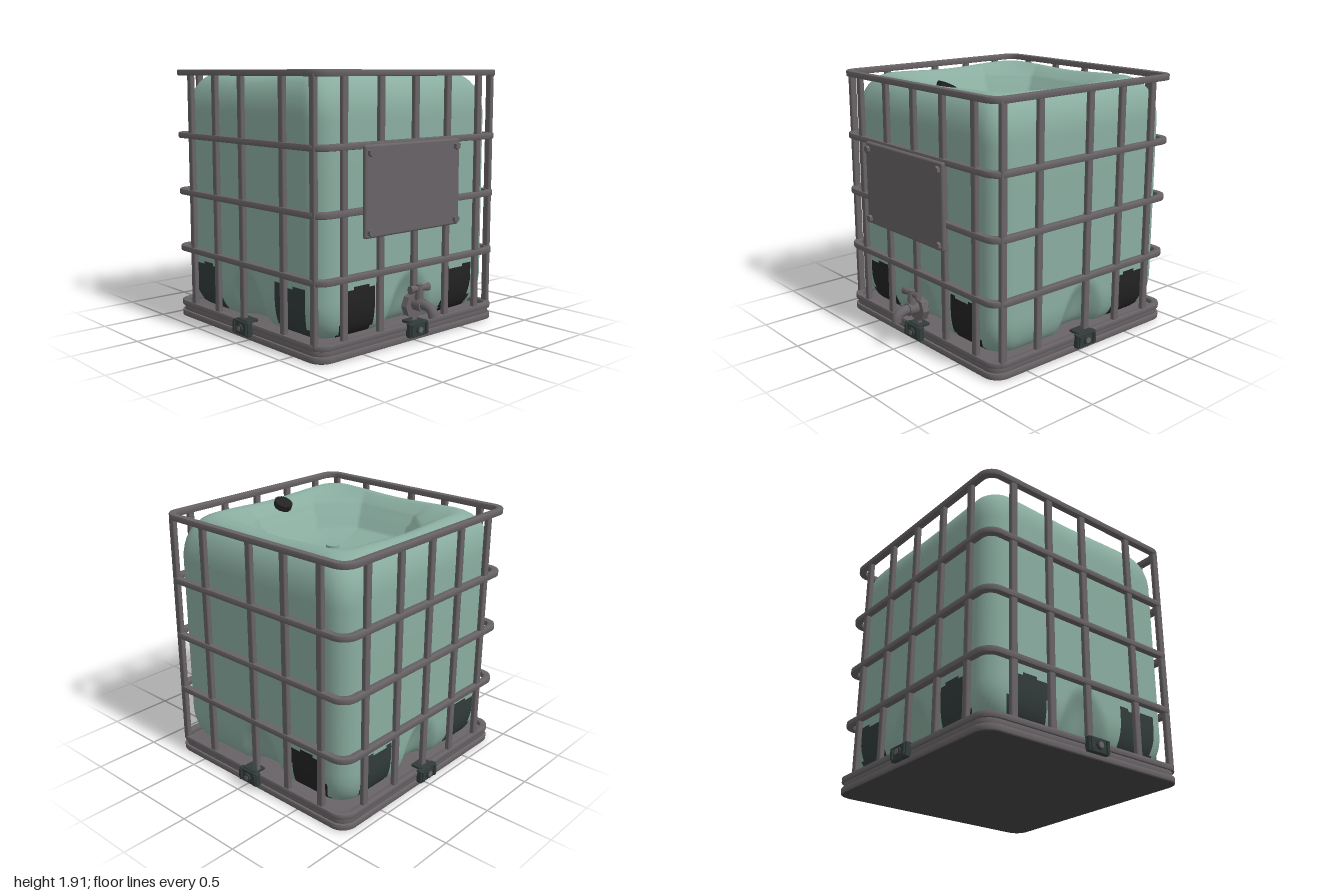
import * as THREE from 'three';
import { toCreasedNormals } from 'three/addons/utils/BufferGeometryUtils.js';
import { RoundedBoxGeometry } from 'three/addons/geometries/RoundedBoxGeometry.js';

const mat = (name, color) => Object.assign(new THREE.MeshStandardMaterial({ color }), { name });
const ZC = -0.076; // middle of the cage in z
const HX = 0.898, HZ = 0.872; // cage half sizes

function roundedRect(hx, hz, r, Type = THREE.Shape) {
  const s = new Type();
  s.absarc(hx - r, hz - r, r, 0, Math.PI / 2);
  s.absarc(r - hx, hz - r, r, Math.PI / 2, Math.PI);
  s.absarc(r - hx, r - hz, r, Math.PI, Math.PI * 1.5);
  s.absarc(hx - r, r - hz, r, Math.PI * 1.5, Math.PI * 2);
  s.closePath();
  return s;
}

// Flat slab or ring lying level, from y0 to y1
function slab(hx, hz, r, y0, y1, wall = 0) {
  const b = 0.007;
  const s = roundedRect(hx - b, hz - b, r);
  if (wall) s.holes.push(roundedRect(hx - wall + b, hz - wall + b, r - wall + 0.02, THREE.Path));
  const g = new THREE.ExtrudeGeometry(s, {
    depth: y1 - y0 - 2 * b, bevelEnabled: true, bevelSize: b, bevelThickness: b, bevelSegments: 2, curveSegments: 8,
  });
  g.rotateX(-Math.PI / 2).translate(0, y0 + b, ZC);
  return toCreasedNormals(g, 0.7);
}

// Distance from the centre to a rounded rectangle along a direction
function rectRadius(hx, hz, r, a) {
  const c = Math.abs(Math.cos(a)), s = Math.abs(Math.sin(a));
  const t = Math.min(hx / c, hz / s);
  if (t * c <= hx - r || t * s <= hz - r) return t;
  const px = hx - r, pz = hz - r, d = px * c + pz * s;
  return d + Math.sqrt(Math.max(0, d * d - px * px - pz * pz + r * r));
}

// Distance from the centre to an octagon along a direction
function octRadius(h, a) {
  const c = Math.abs(Math.cos(a)), s = Math.abs(Math.sin(a));
  return Math.min(h / c, h * 0.94 / s, h * 1.46 / (c + s));
}

function tankGeometry() {
  const N = 240, hx = 0.85, hz = 0.823, rows = [];
  const wall = (inset, y, dip = 0) => rows.push({ f: a => rectRadius(hx - inset, hz - inset, 0.15, a), y, dip });
  const oct = (h, y, dip = 0) => rows.push({ f: a => octRadius(h, a), y, dip });
  rows.push({ f: () => 0.001, y: 0.11, dip: 0 });
  for (let i = 0; i <= 10; i++) {
    const t = i / 10 * Math.PI / 2;
    wall(0.12 * (1 - Math.sin(t)), 0.11 + 0.26 * (1 - Math.cos(t)));
  }
  for (const y of [0.39, 0.41, 0.43, 0.45, 0.47, 0.49, 0.51, 0.54, 0.8, 1.2, 1.58]) wall(0, y);
  const sideRows = rows.length;
  for (let i = 1; i <= 10; i++) {
    const t = i / 10 * Math.PI / 2;
    wall(0.18 * (1 - Math.cos(t)), 1.58 + 0.312 * Math.sin(t), 0.02 * i / 10);
  }
  // Sunken octagonal top with a stepped edge
  wall(0.215, 1.882, 0.02);
  oct(0.585, 1.812); oct(0.56, 1.795); oct(0.535, 1.735); oct(0.51, 1.72); oct(0.485, 1.64); oct(0.46, 1.625);
  rows.push({ f: () => 0.001, y: 1.62, dip: 0 });

  const pos = [], parts = [[], [], []]; // green, black and slate faces
  for (const { f, y, dip } of rows) for (let j = 0; j < N; j++) {
    const a = (j + 0.5) / N * Math.PI * 2, r = f(a);
    let x = Math.cos(a) * r, z = Math.sin(a) * r;
    // Arched recess low in the middle of each side
    const onX = Math.abs(x) / hx > Math.abs(z) / hz, u = onX ? z : x;
    if (r > 0.5 && y < 0.55) {
      const k = Math.max(0, 1 - (u / 0.23) ** 2 - ((y - 0.11) / 0.41) ** 2);
      const d = 0.09 * k * k * (3 - 2 * k);
      if (onX) x -= Math.sign(x) * d; else z -= Math.sign(z) * d;
    }
    pos.push(x, y - dip * Math.cos(2 * a) ** 2, z + ZC - 0.004);
  }
  // Dark pockets near the bottom corners, with an uneven upper edge
  const pocket = (x, y, z) => {
    const zc = z - ZC, onZ = Math.abs(zc) / hz > Math.abs(x) / hx;
    const u = onZ ? x : zc;
    if (y < 0.115 || y > 0.46 + 0.02 * Math.sin(u * 23)) return 0;
    if (onZ) return Math.abs(u) > 0.345 && Math.abs(u) < 0.645 ? (zc > 0 ? 1 : 2) : 0;
    if (u < -0.33 && u > -0.65) return x > 0 ? 1 : 2;
    return x < 0 && u > 0.33 && u < 0.65 ? 2 : 0;
  };
  for (let i = 0; i < rows.length - 1; i++) for (let j = 0; j < N; j++) {
    const k = (j + 1) % N, a = i * N + j, b = i * N + k, d = a + N, c = b + N;
    const mid = n => (pos[a * 3 + n] + pos[c * 3 + n]) / 2;
    const part = i > 0 && i < sideRows ? pocket(mid(0), mid(1), mid(2)) : 0;
    parts[part].push(a, d, b, b, d, c);
  }
  const g = new THREE.BufferGeometry();
  g.setAttribute('position', new THREE.Float32BufferAttribute(pos, 3));
  g.setIndex(parts.flat());
  const out = toCreasedNormals(g, 0.95);
  out.clearGroups();
  let start = 0;
  parts.forEach((p, i) => {
    out.addGroup(start, p.length, i);
    start += p.length;
  });
  return out;
}

export function createModel() {
  const root = new THREE.Group();
  root.name = 'cagedLiquidTank';
  const tankGreen = mat('tankGreen', 0x8aada0);
  const steel = mat('steelGrey', 0x686366);
  const black = mat('black', 0x242323);
  const slate = mat('slateGrey', 0x323b3b);
  const underside = mat('undersideGrey', 0x464646);

  const add = (name, geo, material, x = 0, y = 0, z = 0, parent = root) => {
    const m = new THREE.Mesh(geo, material);
    m.name = name;
    m.position.set(x, y, z);
    parent.add(m);
    return m;
  };
  const cyl = (r, h, n, r2 = r) => toCreasedNormals(new THREE.CylinderGeometry(r, r2, h, n), 0.6);
  const cylZ = (r, h, n) => cyl(r, h, n).rotateX(Math.PI / 2);

  // Tank and the fittings on its top
  add('tank', tankGeometry(), [tankGreen, black, slate]);
  add('fillerCap', cyl(0.07, 0.045, 12), black, 0, 1.852, 0.482).rotation.x = -0.45;
  add('centreCap', cyl(0.05, 0.03, 20), tankGreen, 0, 1.628, -0.03);
  add('lidDisc', cyl(0.155, 0.022, 32, 0.165), tankGreen, -0.2, 1.63, -0.41);

  // Cage hoops
  for (const y of [1.893, 1.42, 0.985, 0.543])
    add('cageHoop', slab(HX, HZ, 0.11, y - 0.022, y + 0.022, 0.05), steel);

  // Base tray
  add('baseTopHoop', slab(HX, HZ, 0.11, 0.088, 0.13, 0.05), steel);
  add('basePlate', slab(HX - 0.015, HZ - 0.015, 0.1, 0.045, 0.095), steel);
  add('baseBottomHoop', slab(HX, HZ, 0.11, 0.004, 0.05, 0.05), steel);
  add('baseUnderside', slab(HX - 0.008, HZ - 0.008, 0.105, 0, 0.03), underside);

  // Upright bars on all four sides
  const H = 1.79;
  const barZ = new RoundedBoxGeometry(0.05, H, 0.038, 2, 0.01);
  const barX = new RoundedBoxGeometry(0.038, H, 0.052, 2, 0.01);
  for (const s of [-1, 1]) {
    for (const x of [-0.665, -0.332, 0, 0.33, 0.665])
      add('uprightBar', barZ, steel, x, 0.1 + H / 2, ZC + s * (HZ - 0.026));
    for (const z of [0.71, 0.39, -0.075, -0.395, -0.715])
      add('uprightBar', barX, steel, s * (HX - 0.026), 0.1 + H / 2, z);
  }

  // Sign plate with corner bolts
  add('signPlate', new RoundedBoxGeometry(0.93, 0.625, 0.036, 2, 0.016), steel, -0.067, 1.115, 0.816);
  for (const x of [-0.49, 0.355]) for (const y of [0.845, 1.375])
    add('signBolt', cylZ(0.027, 0.03, 6), steel, x, y, 0.842);

  // Base clamps, one per side
  const clamp = (x, z, turn) => {
    const g = new THREE.Group();
    g.name = 'baseClamp';
    add('clampBody', new RoundedBoxGeometry(0.185, 0.105, 0.045, 2, 0.008), slate, 0, 0.088, 0.012, g);
    add('clampHook', new RoundedBoxGeometry(0.13, 0.022, 0.1, 2, 0.006), slate, 0, 0.138, -0.03, g);
    for (const s of [-1, 1])
      add('clampRib', new THREE.BoxGeometry(0.022, 0.08, 0.025), slate, s * 0.07, 0.088, 0.034, g);
    add('clampNut', cylZ(0.034, 0.026, 8), slate, 0, 0.088, 0.037, g);
    add('clampStud', cylZ(0.022, 0.03, 8), steel, 0, 0.088, 0.039, g);
    g.position.set(x, 0, z);
    g.rotation.y = turn;
    root.add(g);
  };
  clamp(0, ZC + HZ, 0);
  clamp(0, ZC - HZ, Math.PI);
  clamp(HX, -0.04, Math.PI / 2);
  clamp(-HX, -0.04, -Math.PI / 2);

  // Tap: flange, curved spout, stem and handle
  const tap = new THREE.Group();
  tap.name = 'tap';
  root.add(tap);
  add('tapFlange', cylZ(0.095, 0.05, 8), steel, 0, 0.255, 0.765, tap);
  add('tapBody', cylZ(0.047, 0.15, 16), steel, 0, 0.27, 0.79, tap);
  const path = new THREE.CatmullRomCurve3([[0.7, 0.27], [0.87, 0.272], [0.925, 0.262], [0.955, 0.235], [0.964, 0.2]]
    .map(([z, y]) => new THREE.Vector3(0, y, z)));
  add('tapSpout', new THREE.TubeGeometry(path, 24, 0.036, 14), steel, 0, 0, 0, tap);
  add('spoutMouth', new THREE.CircleGeometry(0.036, 14).rotateX(Math.PI / 2), steel, 0, 0.202, 0.964, tap);
  add('tapStem', cyl(0.026, 0.12, 10, 0.036), steel, 0, 0.335, 0.825, tap);
  add('handleHub', cyl(0.024, 0.06, 10), steel, 0, 0.385, 0.825, tap);
  for (const s of [-1, 1]) {
    const wing = new THREE.CylinderGeometry(0.036, 0.02, 0.085, 8).rotateZ(-s * Math.PI / 2).scale(1, 0.9, 0.7);
    add('handleWing', toCreasedNormals(wing, 0.8), steel, s * 0.052, 0.385, 0.825, tap);
  }
  return root;
}
